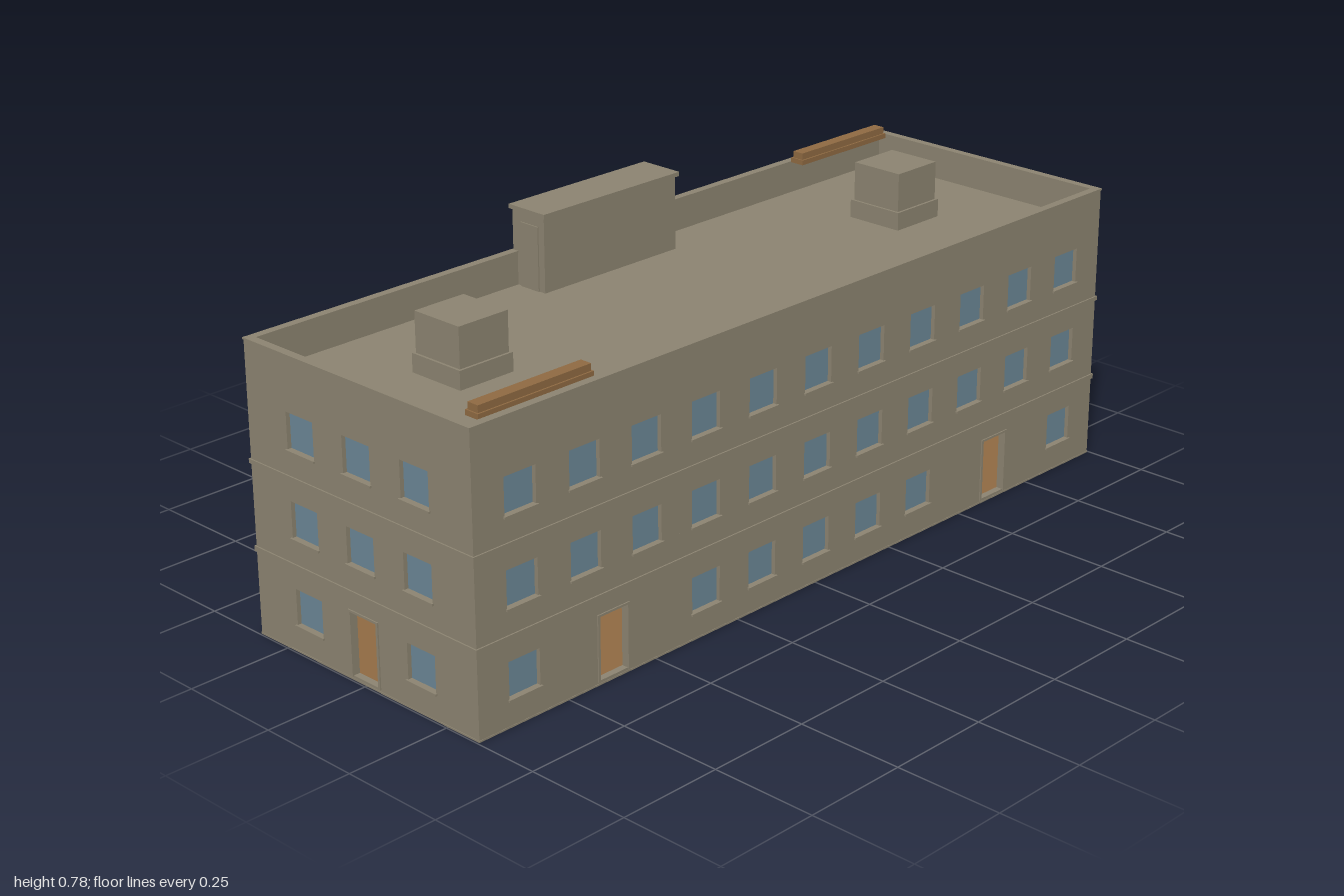
import * as THREE from 'three';

const mat = (name, color) => {
  const m = new THREE.MeshStandardMaterial({ color });
  m.name = name;
  return m;
};

export function createModel() {
  const stone = mat('stone', 0x8c8471);
  const glass = mat('glass', 0x6b8796);
  const wood = mat('wood', 0x8f6a42);
  const plaster = mat('plaster', 0xc9a19f);

  const model = new THREE.Group();
  model.name = 'apartmentBuilding';
  const HX = 0.995, HZ = 0.342, T = 0.016, TOP = 0.67, ROOF = 0.595;
  const WIN = 0.084, DOOR = 0.08, DOOR_BOTTOM = 0.01, DOOR_TOP = 0.156;
  const sills = [0.063, 0.263, 0.462];

  // box given by its centre in x and z and its bottom and top in y
  const box = (parent, name, material, w, d, x, z, y0, y1) => {
    const mesh = new THREE.Mesh(new THREE.BoxGeometry(w, y1 - y0, d), material);
    mesh.position.set(x, (y0 + y1) / 2, z);
    mesh.name = name;
    parent.add(mesh);
    return mesh;
  };

  const rectHole = (x, w, y0, y1) => {
    const p = new THREE.Path();
    p.moveTo(x - w / 2, y0);
    p.lineTo(x - w / 2, y1);
    p.lineTo(x + w / 2, y1);
    p.lineTo(x + w / 2, y0);
    p.closePath();
    return p;
  };

  // one outer wall with window and door openings; its outer face is local z = 0
  const wall = (name, width, columns, doors, skipped, angle, distance) => {
    const side = new THREE.Group();
    side.name = name;
    const h = width / 2;
    const shape = new THREE.Shape();
    shape.moveTo(-h, 0);
    shape.lineTo(h, 0);
    shape.lineTo(h, TOP);
    shape.lineTo(-h, TOP);
    shape.closePath();

    sills.forEach((y, floor) => columns.forEach((x, i) => {
      if (floor === 0 && skipped.includes(i)) return;
      shape.holes.push(rectHole(x, WIN, y, y + WIN));
      const pane = box(side, 'windowPane', glass, WIN + 0.004, 0.004, x, -0.012, y - 0.002, y + WIN + 0.002);
      pane.name = 'windowPane';
      box(side, 'windowSill', stone, WIN + 0.007, 0.018, x, -0.004, y - 0.004, y + 0.001);
    }));

    // open doorways with a slim frame
    doors.forEach((x) => {
      shape.holes.push(rectHole(x, DOOR, DOOR_BOTTOM, DOOR_TOP));
      for (const s of [-1, 1]) {
        box(side, 'doorJamb', stone, 0.006, 0.012, x + s * (DOOR / 2 + 0.003), -0.003, 0.008, DOOR_TOP);
      }
      box(side, 'doorLintel', stone, DOOR + 0.012, 0.012, x, -0.003, DOOR_TOP, DOOR_TOP + 0.005);
    });

    const geo = new THREE.ExtrudeGeometry(shape, { depth: T, bevelEnabled: false });
    geo.translate(0, 0, -T);
    const shell = new THREE.Mesh(geo, stone);
    shell.name = 'wallShell';
    side.add(shell);
    box(side, 'parapetCap', stone, width + 0.004, T + 0.004, 0, -T / 2, TOP, TOP + 0.004);

    side.rotation.y = angle;
    side.position.set(Math.sin(angle) * distance, 0, Math.cos(angle) * distance);
    model.add(side);
  };

  const longColumns = Array.from({ length: 11 }, (_, i) => (i - 5) * 0.174);
  const shortColumns = [-0.175, 0, 0.175];
  wall('frontWall', HX * 2, longColumns, [-0.622, 0.622], [1, 2, 8, 9], 0, HZ);
  wall('backWall', HX * 2, longColumns, [0.742], [9], Math.PI, HZ);
  wall('leftWall', 2 * (HZ - T), shortColumns, [0], [1], Math.PI / 2, HX);
  wall('rightWall', 2 * (HZ - T), shortColumns, [0], [1], -Math.PI / 2, HX);

  // ground plate, floor slabs showing outside as bands, and the roof deck
  const innerW = 2 * (HX - T), innerD = 2 * (HZ - T);
  box(model, 'groundPlate', stone, 2 * HX + 0.002, 2 * HZ + 0.002, 0, 0, 0, 0.004);
  box(model, 'groundFloor', wood, innerW, innerD, 0, 0, 0.004, DOOR_BOTTOM);
  box(model, 'lowerBand', stone, 2 * HX + 0.007, 2 * HZ + 0.007, 0, 0, 0.194, 0.206);
  box(model, 'upperBand', stone, 2 * HX + 0.007, 2 * HZ + 0.007, 0, 0, 0.395, 0.405);
  box(model, 'groundCeiling', plaster, innerW, innerD, 0, 0, 0.188, 0.194);
  box(model, 'roofDeck', stone, innerW, innerD, 0, 0, ROOF - 0.012, ROOF);

  // partitions across the ground floor
  for (const s of [-1, 1]) {
    box(model, 'partition', plaster, 0.012, innerD, s * 0.38, 0, DOOR_BOTTOM, 0.188);
  }

  // stair house at the back edge of the roof
  box(model, 'stairHouse', stone, 0.41, 0.1, -0.044, -0.29, ROOF, 0.77);
  box(model, 'stairHouseCap', stone, 0.422, 0.112, -0.044, -0.289, 0.77, 0.78);
  box(model, 'stairHouseDoor', stone, 0.004, 0.055, -0.25, -0.285, ROOF, 0.745);

  // roof vents and wooden rails, one pair at each end
  for (const s of [-1, 1]) {
    const x = s * 0.683;
    box(model, 'ventBase', stone, 0.146, 0.146, x, -0.026, ROOF, 0.638);
    box(model, 'ventTop', stone, 0.134, 0.134, x, -0.026, 0.638, 0.73);
    box(model, 'railBase', wood, 0.307, 0.037, s * 0.802, s * -0.305, 0.672, 0.684);
    box(model, 'railTop', wood, 0.3, 0.029, s * 0.802, s * -0.305, 0.684, 0.7);
  }

  return model;
}
